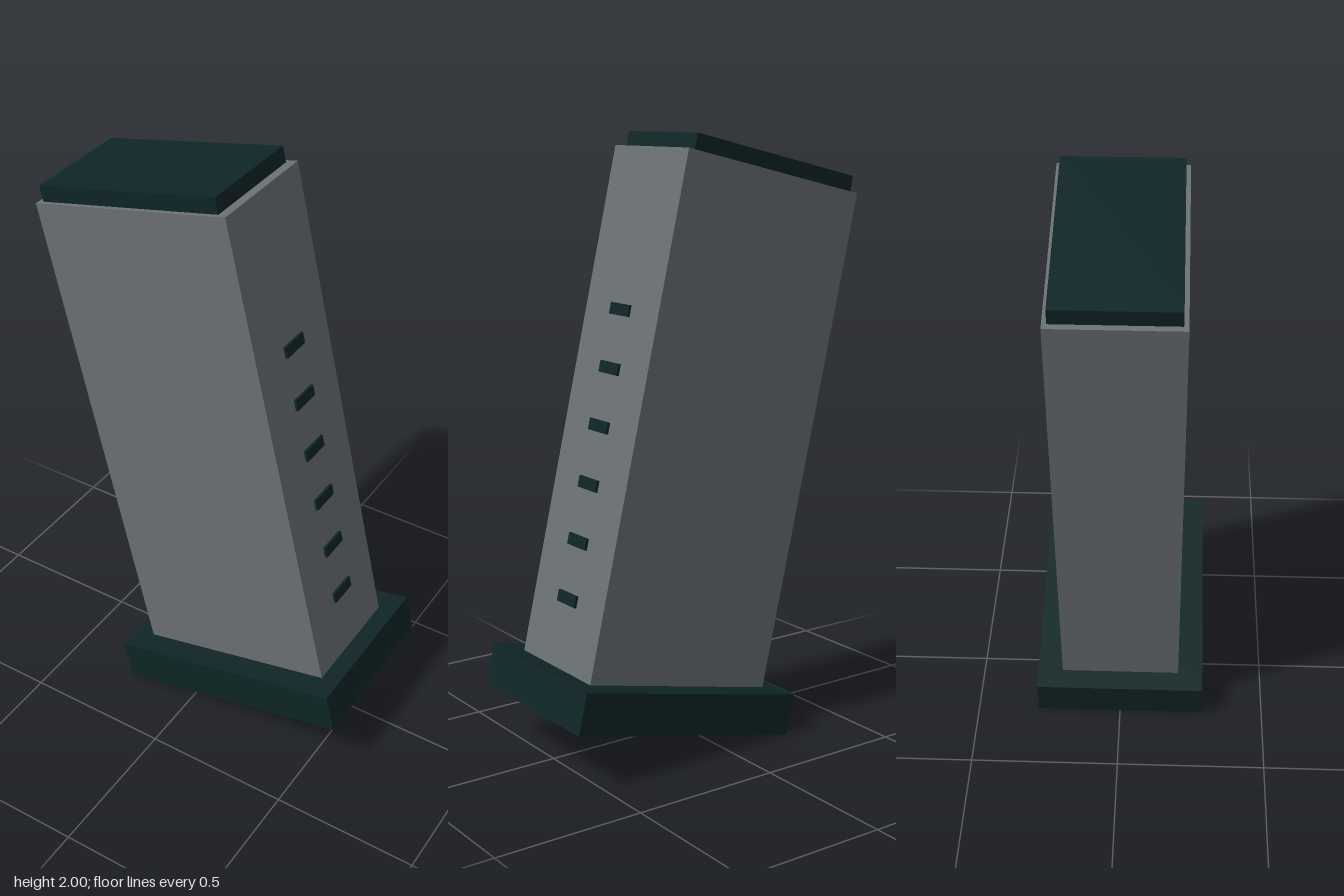
import * as THREE from 'three';

export function createModel() {
  const grey = new THREE.MeshStandardMaterial({ color: 0x6b7073 });
  grey.name = 'steel grey';
  const dark = new THREE.MeshStandardMaterial({ color: 0x0f2526 });
  dark.name = 'dark teal';

  const model = new THREE.Group();
  model.name = 'slantedCase';

  // Everything is built upright around the foot's centre, then leaned as one
  const leaning = new THREE.Group();
  leaning.name = 'leaningBody';
  leaning.rotation.z = THREE.MathUtils.degToRad(13);
  leaning.position.set(0.153, 0.163, 0);
  model.add(leaning);

  const addBox = (name, material, [w, h, d], [x, y]) => {
    const mesh = new THREE.Mesh(new THREE.BoxGeometry(w, h, d), material);
    mesh.name = name;
    mesh.position.set(x, y, 0);
    leaning.add(mesh);
  };

  addBox('basePlate', dark, [0.848, 0.138, 0.575], [0, 0]);
  addBox('casing', grey, [0.708, 1.69, 0.405], [0.002, 0.912]);
  addBox('topCap', dark, [0.656, 0.056, 0.376], [-0.005, 1.782]);

  // Row of slots up the sloping side
  for (let i = 0; i < 6; i++) {
    addBox(`slot${i + 1}`, dark, [0.018, 0.038, 0.104], [0.356, 0.296 + i * 0.188]);
  }

  return model;
}
